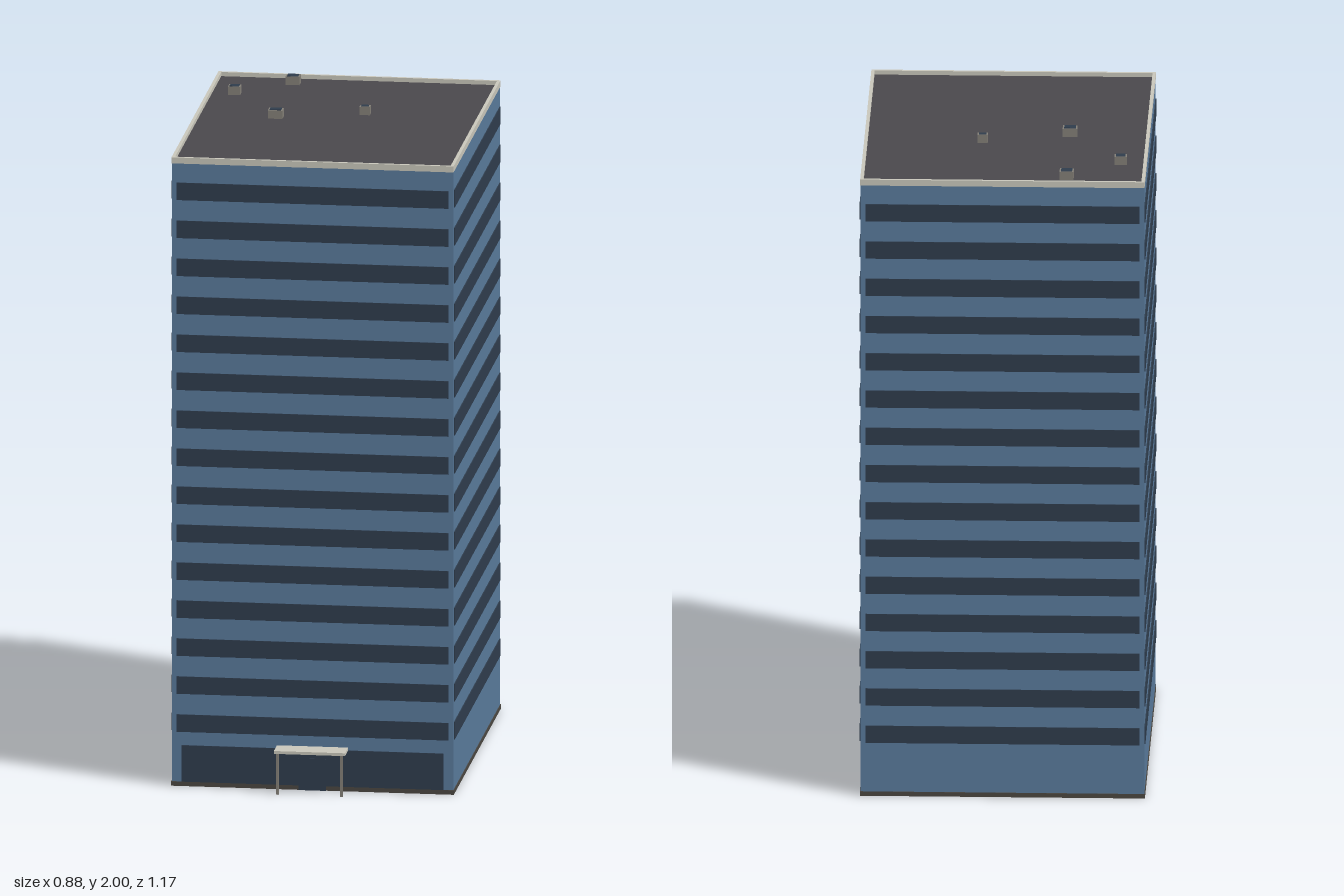
import * as THREE from 'three';

const material = (name, color) => {
  const m = new THREE.MeshStandardMaterial({ color });
  m.name = name;
  return m;
};

export function createModel() {
  const wall = material('blue cladding', 0x58799a);
  const glass = material('dark glass', 0x2e3c4c);
  const stone = material('pale trim', 0xc8c6ba);
  const roofing = material('roofing', 0x4a484c);
  const plinthGrey = material('plinth grey', 0x4a4640);
  const metal = material('metal grey', 0x827e76);

  const model = new THREE.Group();
  model.name = 'officeTower';
  const W = 0.87, D = 1.09, CZ = -0.035; // tower footprint and its centre in z
  const front = CZ + D / 2;
  const ROOF = 1.972;

  // Box given by its size, bottom height and centre
  const box = (parent, name, mat, w, h, d, x, bottom, z) => {
    const mesh = new THREE.Mesh(new THREE.BoxGeometry(w, h, d), mat);
    mesh.name = name;
    mesh.position.set(x, bottom + h / 2, z);
    parent.add(mesh);
    return mesh;
  };

  // Main body, plinth and roof
  box(model, 'plinth', plinthGrey, W + 0.004, 0.014, D + 0.004, 0, 0, CZ);
  box(model, 'towerBody', wall, W, ROOF - 0.02, D, 0, 0.014, CZ);
  box(model, 'roofDeck', roofing, W - 0.004, 0.006, D - 0.004, 0, ROOF - 0.006, CZ);

  // Parapet: rectangular ring around the roof
  const ring = new THREE.Shape();
  const rect = (path, w, d) => {
    path.moveTo(-w / 2, -d / 2);
    path.lineTo(w / 2, -d / 2);
    path.lineTo(w / 2, d / 2);
    path.lineTo(-w / 2, d / 2);
    path.closePath();
  };
  rect(ring, W + 0.002, D + 0.002);
  const inner = new THREE.Path();
  rect(inner, W - 0.018, D - 0.018);
  ring.holes.push(inner);
  const parapetGeo = new THREE.ExtrudeGeometry(ring, { depth: 0.019, bevelEnabled: false });
  parapetGeo.rotateX(-Math.PI / 2);
  const parapet = new THREE.Mesh(parapetGeo, stone);
  parapet.name = 'parapet';
  parapet.position.set(0, 1.966, CZ);
  model.add(parapet);

  // Ribbon windows: thin plates on all four sides of every floor
  const windows = new THREE.Group();
  windows.name = 'ribbonWindows';
  model.add(windows);
  const T = 0.006, BAND = 0.055;
  for (let i = 0; i < 15; i++) {
    const y = 0.171 + i * 0.12;
    for (const s of [-1, 1]) {
      box(windows, 'windowBand', glass, W - 0.03, BAND, T, 0, y, CZ + s * D / 2);
      box(windows, 'windowBand', glass, T, BAND, D - 0.03, s * W / 2, y, CZ);
    }
  }

  // Entrance: lobby glazing, door and canopy on two posts
  const entrance = new THREE.Group();
  entrance.name = 'entrance';
  model.add(entrance);
  box(entrance, 'lobbyGlazing', glass, 0.81, 0.115, T, 0, 0.014, front);
  box(entrance, 'door', glass, 0.085, 0.1, 0.008, 0, 0, front + 0.001);
  box(entrance, 'canopy', stone, 0.22, 0.009, 0.073, 0, 0.129, front + 0.0365);
  for (const s of [-1, 1]) {
    box(entrance, 'canopyPost', metal, 0.008, 0.129, 0.008, s * 0.099, 0, front + 0.068);
  }

  // Rooftop units with dark inset tops: x, z, width, depth
  const units = [
    [-0.195, -0.507, 0.043, 0.036],
    [-0.356, -0.357, 0.038, 0.032],
    [0.074, -0.156, 0.032, 0.025],
    [-0.192, -0.08, 0.045, 0.036],
  ];
  for (const [x, z, w, d] of units) {
    const unit = new THREE.Group();
    unit.name = 'rooftopUnit';
    unit.position.set(x, ROOF, z);
    model.add(unit);
    box(unit, 'unitCasing', metal, w, 0.026, d, 0, 0, 0);
    box(unit, 'unitTop', glass, w - 0.009, 0.004, d - 0.009, 0, 0.024, 0);
  }

  return model;
}
